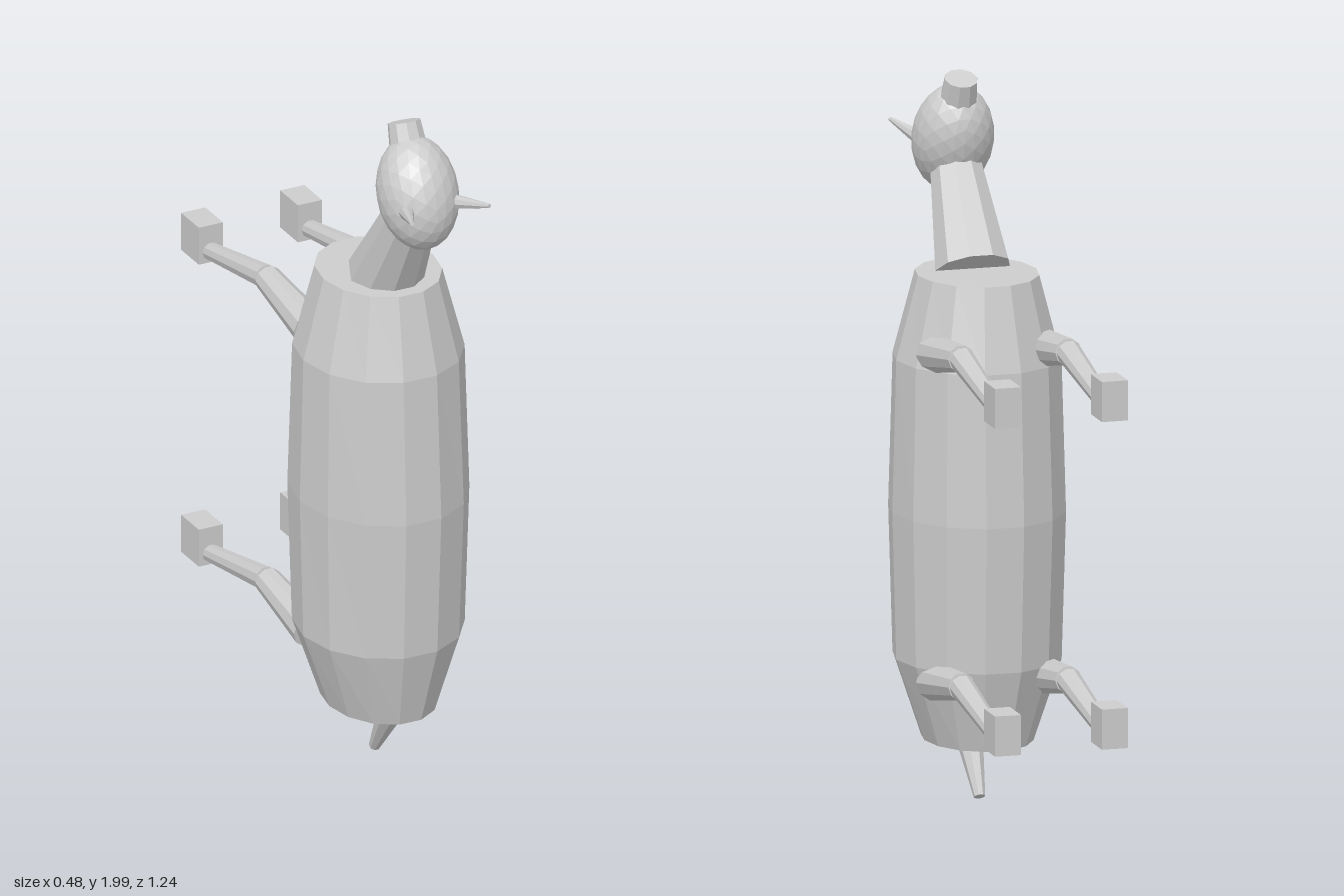
import * as THREE from 'three';

const grey = new THREE.MeshStandardMaterial({ color: 0xcccccc, flatShading: true });
grey.name = 'plain grey';

const UP = new THREE.Vector3(0, 1, 0);

// Tapered cylinder between two points, with a flat facet facing z
function taper(name, from, to, r0, r1, sides) {
  const a = new THREE.Vector3(...from);
  const b = new THREE.Vector3(...to);
  const dir = b.clone().sub(a);
  const geo = new THREE.CylinderGeometry(r1, r0, dir.length(), sides);
  geo.rotateY(Math.PI / sides);
  const mesh = new THREE.Mesh(geo, grey);
  mesh.name = name;
  mesh.position.copy(a).add(b).multiplyScalar(0.5);
  mesh.quaternion.setFromUnitVectors(UP, dir.normalize());
  return mesh;
}

export function createModel() {
  const model = new THREE.Group();
  model.name = 'longBodiedAnimal';

  // Barrel body: elliptical rings of [y, half width, half depth]
  const rings = [
    [0.175, 0.15, 0.195],
    [0.405, 0.23, 0.258],
    [0.815, 0.241, 0.277],
    [1.24, 0.23, 0.256],
    [1.473, 0.168, 0.199],
  ];
  const sides = 14;
  const profile = rings.map(([y]) => new THREE.Vector2(1, y));
  profile.unshift(new THREE.Vector2(0, rings[0][0]));
  profile.push(new THREE.Vector2(0, rings[4][0]));
  const bodyGeo = new THREE.LatheGeometry(profile, sides, Math.PI / sides);
  const pos = bodyGeo.attributes.position;
  for (let i = 0; i < pos.count; i++) {
    const ring = rings.find((r) => Math.abs(r[0] - pos.getY(i)) < 0.001);
    pos.setX(i, pos.getX(i) * ring[1]);
    pos.setZ(i, pos.getZ(i) * ring[2]);
  }
  const body = new THREE.Mesh(bodyGeo, grey);
  body.name = 'body';
  body.position.z = 0.185;
  model.add(body);

  // Neck
  model.add(taper('neck', [0, 1.474, 0.228], [0, 1.73, 0.388], 0.106, 0.073, 10));

  // Head with muzzle, tilted back
  const head = new THREE.Group();
  head.name = 'head';
  head.position.set(0, 1.8, 0.418);
  head.rotation.x = -0.37;
  const skull = new THREE.Mesh(new THREE.IcosahedronGeometry(1, 3), grey);
  skull.name = 'skull';
  skull.scale.set(0.113, 0.16, 0.113);
  head.add(skull, taper('muzzle', [0, 0.1, -0.01], [0, 0.197, -0.01], 0.055, 0.046, 10));
  model.add(head);

  // Ears
  for (const s of [1, -1]) {
    model.add(taper(s > 0 ? 'leftEar' : 'rightEar',
      [s * 0.074, 1.788, 0.495], [s * 0.119, 1.816, 0.614], 0.021, 0.006, 8));
  }

  // Legs reaching back from the body, each with a box foot
  for (const [pair, y] of [['front', 1.275], ['hind', 0.36]]) {
    for (const s of [1, -1]) {
      const leg = new THREE.Group();
      leg.name = pair + (s > 0 ? 'LeftLeg' : 'RightLeg');
      leg.position.set(s * 0.152, y, 0);
      const foot = new THREE.Mesh(new THREE.BoxGeometry(0.074, 0.112, 0.105), grey);
      foot.name = 'foot';
      foot.position.z = -0.567;
      leg.add(
        taper('upperLeg', [0, 0.001, 0.08], [0, 0.042, -0.178], 0.053, 0.038, 10),
        taper('lowerLeg', [0, 0.042, -0.182], [0, -0.026, -0.53], 0.035, 0.025, 10),
        foot,
      );
      model.add(leg);
    }
  }

  // Tail
  model.add(taper('tail', [0, 0.162, 0.26], [0, 0.013, 0.162], 0.038, 0.016, 8));

  return model;
}
